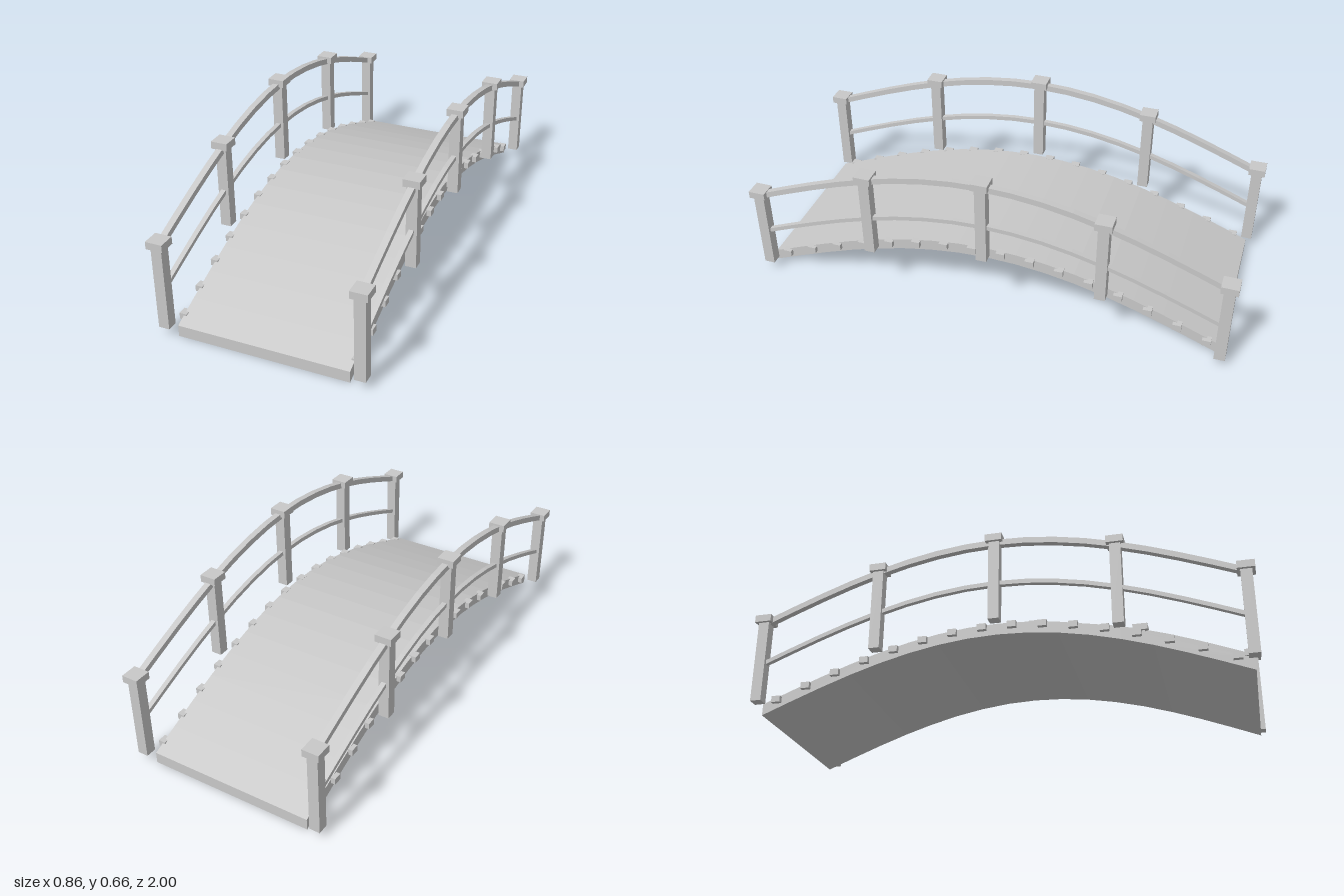
import * as THREE from 'three';

const HALF = 0.966;   // half length of the arch
const RISE = 0.25;    // height of the arch
const arch = (z) => RISE * Math.cos((Math.PI / 2) * z / HALF);

export function createModel() {
  const bridge = new THREE.Group();
  bridge.name = 'archedFootbridge';
  const grey = new THREE.MeshStandardMaterial({ color: 0xc8c8c8 });
  grey.name = 'plainGrey';

  function add(name, geometry, x, y, z, parent = bridge) {
    const mesh = new THREE.Mesh(geometry, grey);
    mesh.name = name;
    mesh.position.set(x, y, z);
    parent.add(mesh);
    return mesh;
  }

  // Arched strip of constant height, running along z and centred on x = 0
  function archedStrip(half, bottom, top, width, segments = 16) {
    const lower = [], upper = [];
    for (let i = 0; i <= segments; i++) {
      const z = -half + (2 * half * i) / segments;
      lower.push(new THREE.Vector2(z, bottom + arch(z)));
      upper.unshift(new THREE.Vector2(z, top + arch(z)));
    }
    const shape = new THREE.Shape([...lower, ...upper]);
    const geometry = new THREE.ExtrudeGeometry(shape, { depth: width, bevelEnabled: false });
    geometry.translate(0, 0, -width / 2);
    geometry.rotateY(-Math.PI / 2);
    return geometry;
  }

  // Walking deck
  add('deck', archedStrip(HALF, 0, 0.047, 0.694), 0, 0, 0);

  // Shared parts of the two railings
  const topRail = archedStrip(HALF, 0.368, 0.393, 0.026);
  const middleRail = archedStrip(HALF, 0.188, 0.206, 0.02);
  const post = new THREE.BoxGeometry(0.044, 0.35, 0.044);
  const cap = new THREE.BoxGeometry(0.068, 0.03, 0.068);
  const beamEnd = new THREE.BoxGeometry(0.03, 0.026, 0.036);

  for (const side of [-1, 1]) {
    const railing = new THREE.Group();
    railing.name = side > 0 ? 'leftRailing' : 'rightRailing';
    bridge.add(railing);
    const x = side * 0.394;
    add('topRail', topRail, x, 0, 0, railing);
    add('middleRail', middleRail, x, 0, 0, railing);

    // Posts with square caps
    for (let i = -2; i <= 2; i++) {
      const z = (i * HALF) / 2;
      add('post', post, x, 0.212 + arch(z), z, railing);
      add('postCap', cap, x, 0.395 + arch(z), z, railing);
    }

    // Cross-beam ends showing along the deck edge
    for (let i = 0; i < 16; i++) {
      const z = -HALF + ((i + 0.5) * 2 * HALF) / 16;
      add('beamEnd', beamEnd, side * 0.35, 0.034 + arch(z), z);
    }
  }
  return bridge;
}
